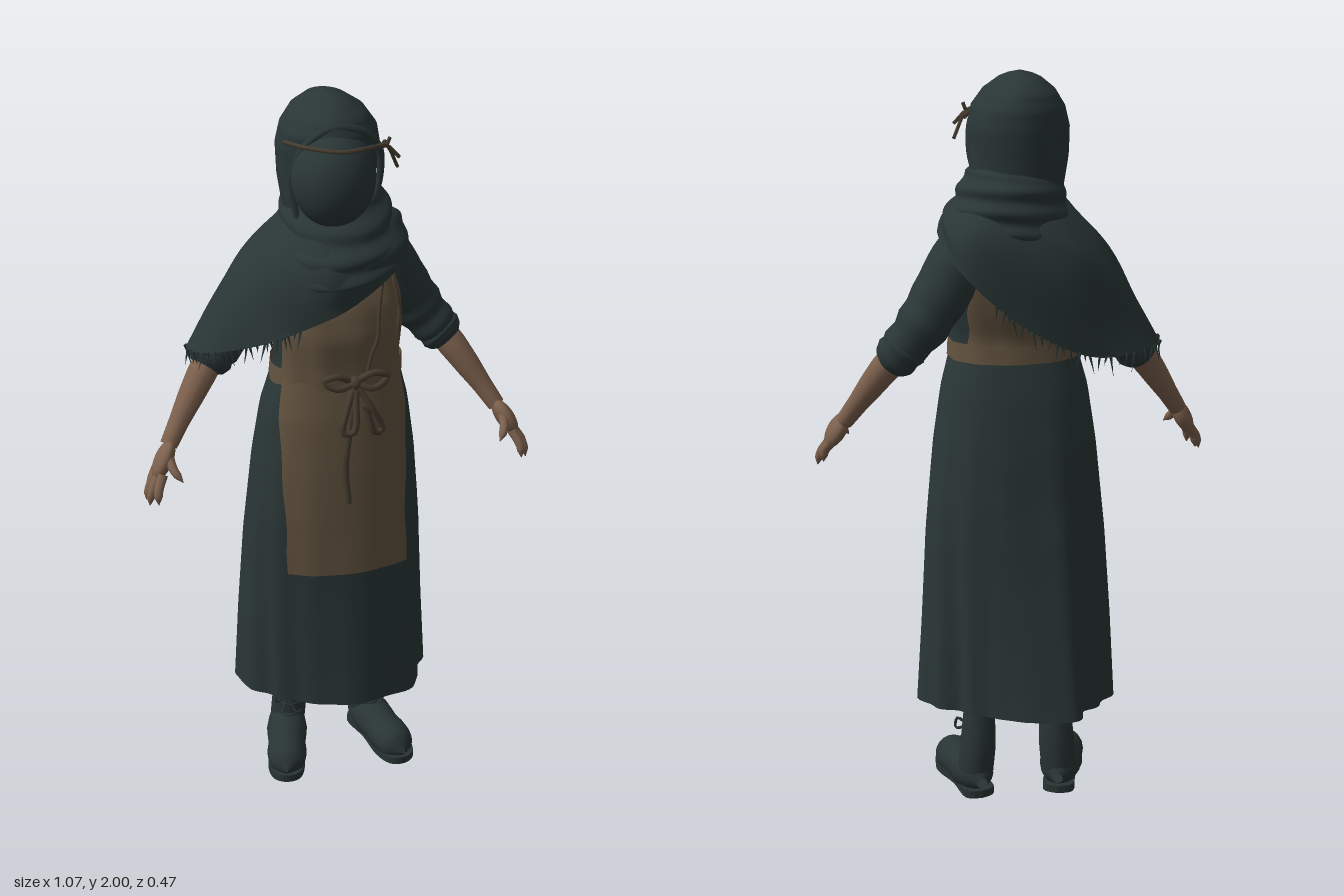
import * as THREE from 'three';
import { mergeVertices, mergeGeometries } from 'three/addons/utils/BufferGeometryUtils.js';

const mat = (name, color) => new THREE.MeshStandardMaterial({ name, color, side: THREE.DoubleSide });
const V = (a) => new THREE.Vector3(...a);
const lerp = THREE.MathUtils.lerp;
const rad = THREE.MathUtils.degToRad;

// weld seams and give smooth normals
function smooth(g) {
  g.deleteAttribute('uv');
  g.deleteAttribute('normal');
  g = mergeVertices(g, 1e-5);
  g.computeVertexNormals();
  return g;
}

// surface from f(u, v), u and v in 0..1
function grid(f, nu, nv) {
  const pos = [], idx = [];
  for (let j = 0; j <= nv; j++) for (let i = 0; i <= nu; i++) pos.push(...f(i / nu, j / nv));
  for (let j = 0; j < nv; j++) for (let i = 0; i < nu; i++) {
    const a = j * (nu + 1) + i, c = a + nu + 1;
    idx.push(a, a + 1, c, a + 1, c + 1, c);
  }
  const g = new THREE.BufferGeometry();
  g.setAttribute('position', new THREE.Float32BufferAttribute(pos, 3));
  g.setIndex(idx);
  return smooth(g);
}

// tube along points with radii spread evenly over its length
function limb(points, radii, seg = 24, sides = 14) {
  const curve = new THREE.CatmullRomCurve3(points.map(V));
  const g = new THREE.TubeGeometry(curve, seg, 1, sides);
  const p = g.attributes.position, v = new THREE.Vector3();
  for (let i = 0; i <= seg; i++) {
    const c = curve.getPointAt(i / seg), t = (i / seg) * (radii.length - 1);
    const k = Math.min(Math.floor(t), radii.length - 2);
    const r = lerp(radii[k], radii[k + 1], t - k);
    for (let j = 0; j <= sides; j++) {
      const n = i * (sides + 1) + j;
      v.fromBufferAttribute(p, n).sub(c).multiplyScalar(r).add(c);
      p.setXYZ(n, v.x, v.y, v.z);
    }
  }
  return smooth(g);
}
const cord = (points, r = 0.005) => limb(points, [r, r], 20, 6);

// body surface from rings [y, centre x, half width, back z, front z]
function body(rings, power, fold) {
  return (th, y, out = 0) => {
    let k = 0;
    while (k < rings.length - 2 && y > rings[k + 1][0]) k++;
    const a = rings[k], b = rings[k + 1];
    const t = THREE.MathUtils.clamp((y - a[0]) / (b[0] - a[0]), 0, 1);
    const [, cx, rx, zb, zf] = a.map((n, i) => lerp(n, b[i], t));
    const s = Math.sin(th), c = Math.cos(th), f = 1 + fold(th, y);
    const q = (n) => Math.sign(n) * Math.abs(n) ** power;
    return [cx + q(s) * (rx * f + out), y, (zf + zb) / 2 + q(c) * ((zf - zb) / 2 * f + out)];
  };
}
// part of a body surface between two heights, half angle w(v) around mid
const patch = (surf, y0, y1, mid, w, out, nu = 32, nv = 16) =>
  grid((u, v) => surf(rad(mid + (u * 2 - 1) * w(v)), lerp(y0, y1, v), out), nu, nv);

export function createModel() {
  const model = new THREE.Group();
  const cloth = mat('dark cloth', 0x2a3636), apronMat = mat('brown apron', 0x62533f);
  const skin = mat('skin', 0x7c604d), cordMat = mat('brown cord', 0x463c30);
  const leather = mat('dark boot leather', 0x293434);
  const add = (name, g, m, parent = model) => {
    const mesh = new THREE.Mesh(g, m);
    mesh.name = name;
    parent.add(mesh);
    return mesh;
  };
  const full = () => 180;

  // skirt: folds grow towards the hem, which swings askew and trails behind
  const skirt = body([
    [0.26, 0, 0.27, -0.197, 0.182], [0.5, -0.003, 0.257, -0.185, 0.179], [0.75, -0.003, 0.243, -0.168, 0.177],
    [1.0, -0.004, 0.22, -0.138, 0.172], [1.15, -0.005, 0.198, -0.113, 0.164], [1.27, -0.004, 0.166, -0.082, 0.15],
  ], 0.87, (th, y) => {
    const hem = Math.max(0, (0.85 - y) / 0.59), a = THREE.MathUtils.euclideanModulo(th, Math.PI * 2);
    const bump = (deg, w, n) => hem * Math.exp(-(Math.abs((a - rad(deg)) / w) ** n));
    return Math.max(0, 1.2 - y) * (0.03 * Math.sin(13 * th) + 0.018 * Math.sin(7 * th + 1)) * (0.35 + 0.65 * Math.abs(Math.sin(th / 2)))
      - 0.17 * hem * Math.max(0, -Math.sin(2 * th)) + 0.22 * bump(195, 0.29, 4) - 0.1 * bump(66, 0.27, 2) + 0.04 * bump(42, 0.2, 2);
  });
  add('skirt', patch(skirt, 0.26, 1.27, 0, full, 0, 144, 36), cloth);
  add('apronSkirt', patch(skirt, 0.69, 1.26, 0, (v) => 39 + 25 * v * v + 0.6 * Math.sin(v * 17), 0.006, 48, 32), apronMat);

  // torso, bib front and back, waistband
  const torso = body([
    [1.22, -0.004, 0.17, -0.09, 0.152], [1.3, -0.003, 0.165, -0.085, 0.152], [1.38, 0, 0.173, -0.11, 0.16],
    [1.46, 0, 0.178, -0.13, 0.146], [1.55, 0, 0.165, -0.14, 0.105], [1.61, 0, 0.13, -0.13, 0.08],
    [1.68, 0, 0.075, -0.1, 0.06],
  ], 0.9, (th, y) => 0.012 * Math.sin(11 * th + y * 9));
  add('torso', patch(torso, 1.22, 1.68, 0, full, 0, 64, 24), cloth);
  add('apronBib', patch(torso, 1.25, 1.6, 0, (v) => 70 - 19 * v, 0.006, 40), apronMat);
  add('apronBack', patch(torso, 1.25, 1.57, 180, (v) => 50 - 13 * v + 1.5 * Math.sin(v * 20), 0.006, 24), apronMat);
  add('waistband', patch(torso, 1.235, 1.285, 0, full, 0.008, 64, 4), apronMat);

  // head: face covering, hood and its draped front edge
  add('face', new THREE.SphereGeometry(1, 32, 24).scale(0.108, 0.13, 0.106).translate(-0.02, 1.8, 0.077), cloth);
  const hood = body([
    [1.62, 0, 0.12, -0.135, 0.09], [1.7, -0.005, 0.124, -0.138, 0.09], [1.78, -0.01, 0.128, -0.143, 0.09],
    [1.86, -0.01, 0.132, -0.15, 0.108], [1.91, -0.01, 0.123, -0.147, 0.122], [1.95, -0.012, 0.096, -0.13, 0.106],
    [1.98, -0.015, 0.057, -0.09, 0.068], [1.995, -0.015, 0.025, -0.045, 0.02], [2.0, -0.015, 0.001, -0.015, -0.013],
  ], 1, (th, y) => (y < 1.97 ? 0.014 * Math.sin(6 * th + y * 24) : 0));
  add('hood', patch(hood, 1.62, 2.0, 0, full, 0, 48, 38), cloth);
  add('hoodEdge', limb([[0.085, 1.69, 0.055], [0.108, 1.78, 0.055], [0.097, 1.87, 0.075], [0.04, 1.925, 0.096],
    [-0.03, 1.937, 0.1], [-0.09, 1.895, 0.085], [-0.123, 1.8, 0.05], [-0.11, 1.69, 0.055]], [0.008, 0.012, 0.008], 48, 8), cloth);
  add('browCord', cord([[-0.138, 1.89, 0.04], [-0.09, 1.895, 0.112], [-0.02, 1.893, 0.152],
    [0.05, 1.89, 0.135], [0.1, 1.88, 0.095], [0.122, 1.87, 0.05]], 0.006), cordMat);
  for (const end of [[0.148, 1.81, 0.075], [0.145, 1.845, 0.1], [0.12, 1.9, 0.1]])
    add('browCordEnd', cord([[0.08, 1.885, 0.115], [0.11, 1.88, 0.1], end], 0.005), cordMat);

  // loose scarf with slanting folds around the neck, hanging lower in front
  const scarf = body([
    [1.52, 0.0, 0.15, -0.14, 0.15], [1.56, 0.0, 0.175, -0.165, 0.19], [1.61, 0.0, 0.17, -0.168, 0.185],
    [1.66, 0.003, 0.15, -0.168, 0.16], [1.7, 0.003, 0.136, -0.163, 0.135], [1.73, 0, 0.125, -0.152, 0.11],
    [1.75, 0, 0.1, -0.13, 0.08],
  ], 1, (th, y) => 0.03 * Math.sin(y * 105 + 1.3 * Math.sin(th + 0.6)) + 0.012 * Math.sin(5 * th + y * 30));
  add('scarf', grid((u, v) => {
    const th = (u * 2 - 1) * Math.PI, y = lerp(1.52, 1.75, v), p = scarf(th, y);
    p[1] += (0.03 * Math.sin(th) - 0.022 * Math.cos(th)) * (1 - 0.6 * v);
    return p;
  }, 64, 44), cloth);

  // shawl: neck ring, shoulder ring and slanting hem, counted from the front towards +x
  const shoulderLine = new THREE.CatmullRomCurve3([[0, 1.57, 0.185], [0.13, 1.62, 0.13], [0.185, 1.64, -0.02],
    [0.145, 1.6, -0.148], [0, 1.56, -0.178], [-0.15, 1.54, -0.168], [-0.235, 1.535, -0.1], [-0.235, 1.54, 0],
    [-0.165, 1.57, 0.105], [-0.08, 1.57, 0.17]].map(V), true);
  const hemLine = new THREE.CatmullRomCurve3([[0, 1.48, 0.18], [0.15, 1.565, 0.125], [0.205, 1.58, -0.04],
    [0.155, 1.5, -0.162], [0, 1.36, -0.178], [-0.2, 1.265, -0.16], [-0.37, 1.285, -0.115], [-0.355, 1.305, -0.015],
    [-0.22, 1.365, 0.1], [-0.11, 1.43, 0.168]].map(V), true);
  const neckLine = new THREE.CatmullRomCurve3([0, 45, 90, 135, 180, 215, 250, 285, 315, 340].map((d) =>
    new THREE.Vector3(Math.sin(rad(d)) * 0.115, 1.69, Math.cos(rad(d)) * 0.12)), true);
  const shawl = (u, v) => {
    const lines = [hemLine, shoulderLine, neckLine].map((l) => l.getPoint(u % 1));
    const p = new THREE.CatmullRomCurve3(lines).getPoint(v);
    const d = 0.005 * Math.sin(u * Math.PI * 14 + v * 9) * Math.sin(v * Math.PI);
    const l = Math.hypot(p.x, p.z) || 1;
    return [p.x * (1 + d / l), p.y, p.z * (1 + d / l)];
  };
  add('shawl', grid(shawl, 100, 18), cloth);
  const strands = [];
  for (let i = 0; i < 56; i++) {
    const p = hemLine.getPoint(0.36 + 0.52 * i / 55), len = 0.04 + 0.018 * Math.sin(i * 2.3);
    strands.push(new THREE.ConeGeometry(0.004, len, 5).rotateX(Math.PI)
      .rotateZ(0.25 * Math.sin(i * 1.7)).translate(p.x, p.y - len / 2 + 0.004, p.z));
  }
  add('shawlFringe', mergeGeometries(strands), cloth);

  // arms and boots, mirrored
  for (const side of [1, -1]) {
    const arm = new THREE.Group();
    arm.name = side > 0 ? 'leftArm' : 'rightArm';
    arm.scale.x = side;
    model.add(arm);
    add('sleeve', limb([[0.09, 1.56, -0.045], [0.15, 1.503, -0.055], [0.205, 1.42, -0.068], [0.262, 1.335, -0.078],
      [0.325, 1.26, -0.062]], [0.065, 0.085, 0.084, 0.08, 0.077, 0.076, 0.07, 0.073, 0.062, 0.064, 0.046], 40, 18), cloth, arm);
    add('cuff', limb([[0.285, 1.305, -0.078], [0.31, 1.275, -0.07], [0.342, 1.24, -0.05]],
      [0.05, 0.064, 0.058, 0.062, 0.054, 0.03], 20, 18), cloth, arm);
    add('forearm', limb([[0.31, 1.28, -0.07], [0.36, 1.21, -0.04], [0.41, 1.135, -0.01], [0.455, 1.065, 0.02]],
      [0.04, 0.04, 0.035, 0.028, 0.024]), skin, arm);
    add('palm', new THREE.SphereGeometry(1, 20, 14).scale(0.024, 0.056, 0.04).rotateZ(0.5).rotateX(-0.35)
      .translate(0.474, 1.035, 0.042), skin, arm);
    [[0.492, 1.005, 0.024, 0.512, 0.948, 0.04], [0.496, 1.0, 0.043, 0.527, 0.933, 0.062],
      [0.494, 1.0, 0.061, 0.523, 0.928, 0.086], [0.484, 1.008, 0.076, 0.503, 0.938, 0.108],
      [0.463, 1.055, 0.05, 0.437, 1.0, 0.115]].forEach(([x, y, z, X, Y, Z], i) => {
      add(i < 4 ? 'finger' : 'thumb', limb([[x, y, z], [(x + X) / 2 + 0.007, (y + Y) / 2, (z + Z) / 2 + 0.006], [X, Y, Z]],
        [0.014, 0.013, 0.0125, 0.011, 0.001], 12, 8), skin, arm);
    });

    const boot = new THREE.Group();
    boot.name = side > 0 ? 'leftBoot' : 'rightBoot';
    boot.scale.x = side;
    model.add(boot);
    const turn = (g) => g.rotateY(rad(14)).translate(0.119, 0, -0.076);
    add('shaft', limb([[0.105, 0.42, -0.06], [0.107, 0.25, -0.07], [0.11, 0.15, -0.077], [0.118, 0.06, -0.077]],
      [0.044, 0.04, 0.039, 0.046, 0.05, 0.05]), leather, boot);
    const foot = limb([[0, 0.045, -0.057], [0, 0.055, 0], [0, 0.045, 0.1], [0, 0.035, 0.226]],
      [0.015, 0.045, 0.054, 0.058, 0.056, 0.053, 0.056, 0.055, 0.046, 0.003], 30, 18);
    const p = foot.attributes.position;
    for (let i = 0; i < p.count; i++) p.setY(i, Math.max(0.015, p.getY(i)));
    foot.computeVertexNormals();
    add('foot', turn(foot), leather, boot);
    const outline = new THREE.Shape(new THREE.SplineCurve([[0, 0.056], [0.042, 0.035], [0.041, -0.06], [0.054, -0.15],
      [0.038, -0.21], [0, -0.228], [-0.038, -0.21], [-0.051, -0.15], [-0.041, -0.06], [-0.042, 0.035], [0, 0.056]]
      .map((q) => new THREE.Vector2(...q))).getPoints(40));
    add('sole', turn(new THREE.ExtrudeGeometry(outline, { depth: 0.022, bevelEnabled: false }).rotateX(-Math.PI / 2)), leather, boot);
    for (const y of [0.11, 0.14, 0.17])
      add('lace', cord([[0.085, y, -0.034], [0.125, y + 0.005, -0.032 + (0.17 - y) * 0.35], [0.148, y, -0.05]], 0.004), leather, boot);
    for (const s of [-1, 1])
      add('laceLoop', cord([[0.13, 0.175, -0.034], [0.13 + s * 0.03, 0.195, -0.014], [0.13 + s * 0.035, 0.165, -0.014],
        [0.13, 0.175, -0.03], [0.13 + s * 0.02, 0.13, -0.004]], 0.004), leather, boot);
  }

  // apron bow, hanging tails and chest cords
  add('bowKnot', new THREE.SphereGeometry(0.018, 12, 8).translate(0.01, 1.265, 0.178), cordMat);
  const bow = [
    [[0.01, 1.265, 0.175], [-0.04, 1.292, 0.185], [-0.072, 1.28, 0.18], [-0.04, 1.258, 0.19], [0.01, 1.265, 0.18]],
    [[0.01, 1.265, 0.175], [0.06, 1.292, 0.185], [0.1, 1.272, 0.175], [0.06, 1.25, 0.19], [0.01, 1.265, 0.18]],
    [[0.01, 1.265, 0.18], [-0.02, 1.2, 0.21], [-0.032, 1.145, 0.22], [-0.005, 1.145, 0.225], [0.01, 1.25, 0.19]],
    [[0.01, 1.265, 0.18], [0.05, 1.2, 0.2], [0.08, 1.13, 0.197], [0.06, 1.125, 0.202], [0.035, 1.2, 0.2]],
    [[0.01, 1.26, 0.18], [-0.01, 1.13, 0.2], [-0.018, 1.02, 0.192], [-0.01, 0.92, 0.195]],
  ];
  bow.forEach((pts, i) => add(i < 4 ? 'bowLoop' : 'bowTail', cord(pts, 0.009), cordMat));
  for (const [x0, x1, y1] of [[0.1, 0.05, 1.28], [0.135, 0.14, 1.36]]) {
    const pts = [];
    for (let i = 0; i <= 6; i++) {
      const x = lerp(x0, x1, i / 6) + 0.004 * Math.sin(i * 2), y = lerp(1.57, y1, i / 6);
      const q = torso(Math.asin(Math.min(1, x / 0.18)), y, 0.009);
      pts.push([q[0], y, q[2]]);
    }
    add('chestCord', cord(pts, 0.005), cordMat);
  }
  return model;
}
